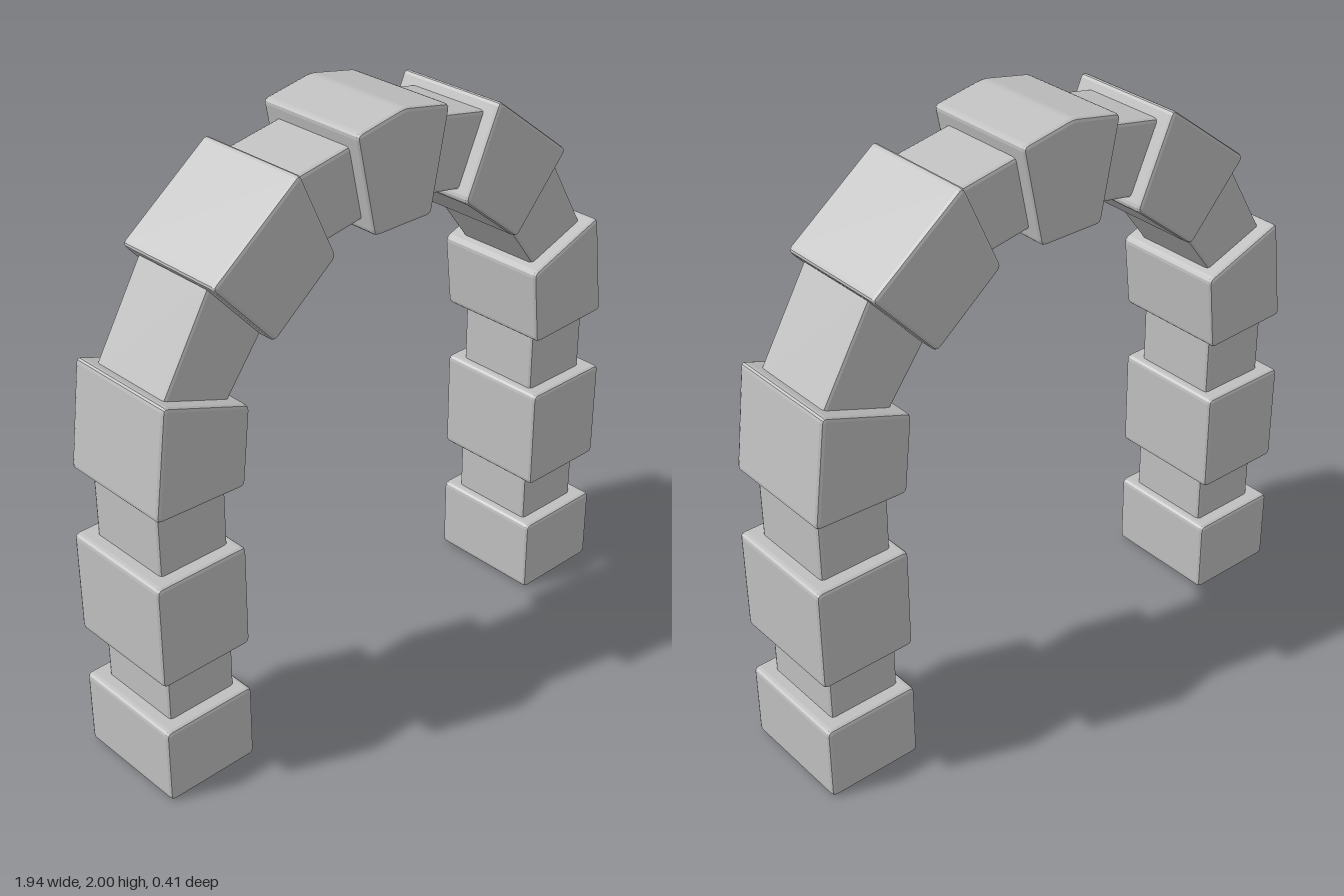
import * as THREE from 'three';

const BEVEL = 0.012;
const CORNER = 0.018;

// Outline with slightly rounded corners
function roundedShape(points) {
  const v = points.map(([x, y]) => new THREE.Vector2(x, y));
  const shape = new THREE.Shape();
  v.forEach((p, i) => {
    const prev = v[(i + v.length - 1) % v.length];
    const next = v[(i + 1) % v.length];
    const a = p.clone().add(prev.clone().sub(p).setLength(CORNER));
    const b = p.clone().add(next.clone().sub(p).setLength(CORNER));
    if (i === 0) shape.moveTo(a.x, a.y);
    else shape.lineTo(a.x, a.y);
    shape.quadraticCurveTo(p.x, p.y, b.x, b.y);
  });
  shape.closePath();
  return shape;
}

// Stone block with softened edges, centred on z = 0
function stone(name, points, halfDepth, material) {
  const geometry = new THREE.ExtrudeGeometry(roundedShape(points), {
    depth: 2 * (halfDepth - BEVEL),
    bevelEnabled: true,
    bevelThickness: BEVEL,
    bevelSize: BEVEL,
    bevelOffset: -BEVEL,
    bevelSegments: 2,
    curveSegments: 3,
  });
  geometry.translate(0, 0, -(halfDepth - BEVEL));
  const mesh = new THREE.Mesh(geometry, material);
  mesh.name = name;
  return mesh;
}

const rect = (x0, y0, x1, y1) => [[x0, y0], [x1, y0], [x1, y1], [x0, y1]];

export function createModel() {
  const group = new THREE.Group();
  group.name = 'stoneArch';
  const grey = new THREE.MeshStandardMaterial({ color: 0xc0c0c0 });
  grey.name = 'stoneGrey';

  const WIDE = 0.205;
  const NARROW = 0.155;

  // Stones of one side, from the ground up
  const sideStones = [
    ['baseBlock', WIDE, rect(0.64, 0, 0.97, 0.265)],
    ['lowerNeck', NARROW, rect(0.67, 0.22, 0.92, 0.48)],
    ['pillarBlock', WIDE, rect(0.64, 0.44, 0.97, 0.795)],
    ['upperNeck', NARROW, rect(0.67, 0.75, 0.92, 1.05)],
    ['springerBlock', WIDE, [[0.635, 1.005], [0.957, 1.018], [0.91, 1.377], [0.607, 1.267]]],
    ['lowerLink', NARROW, [[0.664, 1.252], [0.893, 1.329], [0.69, 1.674], [0.506, 1.462]]],
    ['haunchBlock', WIDE, [[0.508, 1.432], [0.725, 1.671], [0.402, 1.917], [0.268, 1.623]]],
    ['upperLink', NARROW, [[0.31, 1.643], [0.42, 1.871], [0.14, 1.922], [0.08, 1.683]]],
  ];

  for (const [side, sign] of [['left', 1], ['right', -1]]) {
    const half = new THREE.Group();
    half.name = side + 'Side';
    for (const [name, depth, points] of sideStones) {
      half.add(stone(name, points.map(([x, y]) => [sign * x, y]), depth, grey));
    }
    group.add(half);
  }

  // Keystone with a shallow peak
  group.add(stone('keystone',
    [[-0.116, 1.634], [0.116, 1.634], [0.185, 1.966], [0, 2.001], [-0.185, 1.966]], WIDE, grey));

  return group;
}
